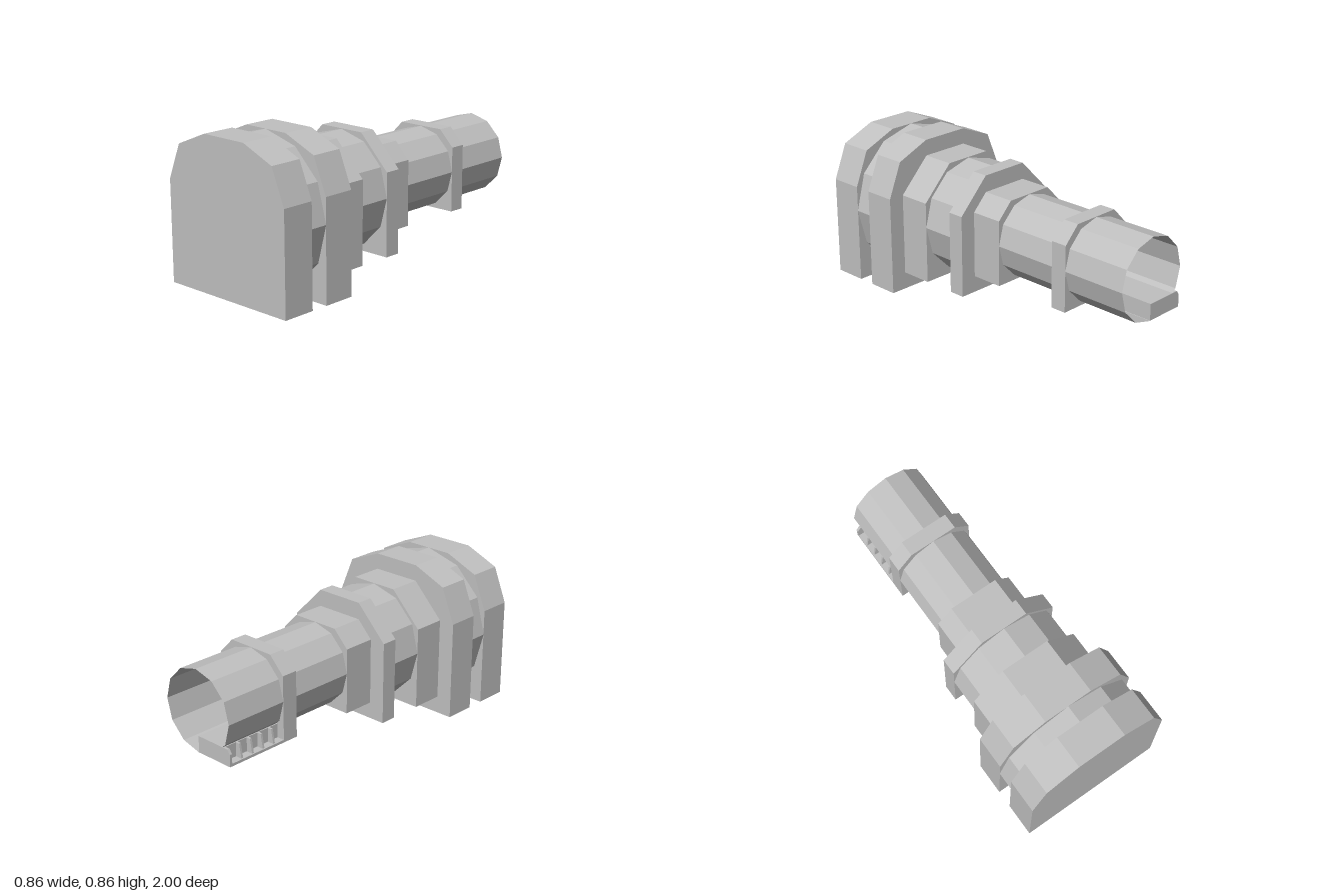
import * as THREE from 'three';

const AXIS = 0.43; // height of the barrel axis

export function createModel() {
  const group = new THREE.Group();
  const grey = new THREE.MeshStandardMaterial({ color: 0xc0c0c0, flatShading: true, side: THREE.DoubleSide });
  grey.name = 'lightGrey';

  const add = (name, geometry) => {
    const mesh = new THREE.Mesh(geometry, grey);
    mesh.name = name;
    group.add(mesh);
    return mesh;
  };

  // Flat outline (x, y) extruded from z0 to z1
  const slab = (name, points, z0, z1) => {
    const shape = new THREE.Shape(points.map(([x, y]) => new THREE.Vector2(x, y)));
    const geometry = new THREE.ExtrudeGeometry(shape, { depth: z1 - z0, bevelEnabled: false });
    return add(name, geometry.translate(0, 0, z0));
  };

  // Square-footed block with chamfered shoulders; corners listed from side to top
  const block = (name, bottom, corners, z0, z1) => {
    const right = [[corners[0][0], bottom], ...corners.map(([x, h]) => [x, AXIS + h])];
    const left = right.map(([x, y]) => [-x, y]).reverse();
    return slab(name, [...right, ...left], z0, z1);
  };

  // Twelve-sided barrel between z0 and z1
  const barrel = (name, radius, z0, z1, open = true) => {
    const geometry = new THREE.CylinderGeometry(radius, radius, z1 - z0, 12, 1, open);
    geometry.rotateX(Math.PI / 2).translate(0, AXIS, (z0 + z1) / 2);
    return add(name, geometry);
  };

  const box = (name, x0, x1, y0, y1, z0, z1) =>
    add(name, new THREE.BoxGeometry(x1 - x0, y1 - y0, z1 - z0)
      .translate((x0 + x1) / 2, (y0 + y1) / 2, (z0 + z1) / 2));

  // Large front section
  const large = [[0.427, 0.145], [0.345, 0.345], [0.145, 0.428]];
  block('frontBlock', 0, large, 0.81, 1);
  barrel('frontBarrel', 0.428, 0.71, 0.81);
  block('frontCollar', 0, large, 0.525, 0.71);

  // Middle section
  const medium = [[0.332, 0.145], [0.145, 0.335]];
  block('middleBlock', 0.1, medium, 0.335, 0.525);
  barrel('middleBarrel', 0.332, 0.145, 0.335);
  block('middleCollar', 0.1, medium, 0.05, 0.145);

  // Narrow rear section, hollow at the end
  const small = [[0.237, 0.145], [0.145, 0.239]];
  block('rearBlock', 0.195, small, -0.14, 0.05);
  barrel('rearBarrel', 0.237, -0.525, -0.14);
  block('rearCollar', 0.195, small, -0.62, -0.525);
  barrel('endTube', 0.237, -1, -0.62);

  // Ribbed tray under the right side of the open tube
  box('trayFloor', -0.237, 0, 0.195, 0.21, -1, -0.62);
  box('trayCore', -0.19, 0, 0.21, 0.29, -0.99, -0.62);
  const profile = [[0, 0.195], [0, 0.29], [-0.22, 0.29], [-0.237, 0.265], [-0.237, 0.195]];
  slab('trayEndWall', profile, -1, -0.985);
  for (let i = 0; i < 4; i++) {
    const z = -0.915 + i * 0.075;
    slab('trayRib', [[-0.18, 0.205], [-0.18, 0.29], [-0.215, 0.29], [-0.23, 0.205]], z, z + 0.012);
  }

  return group;
}
